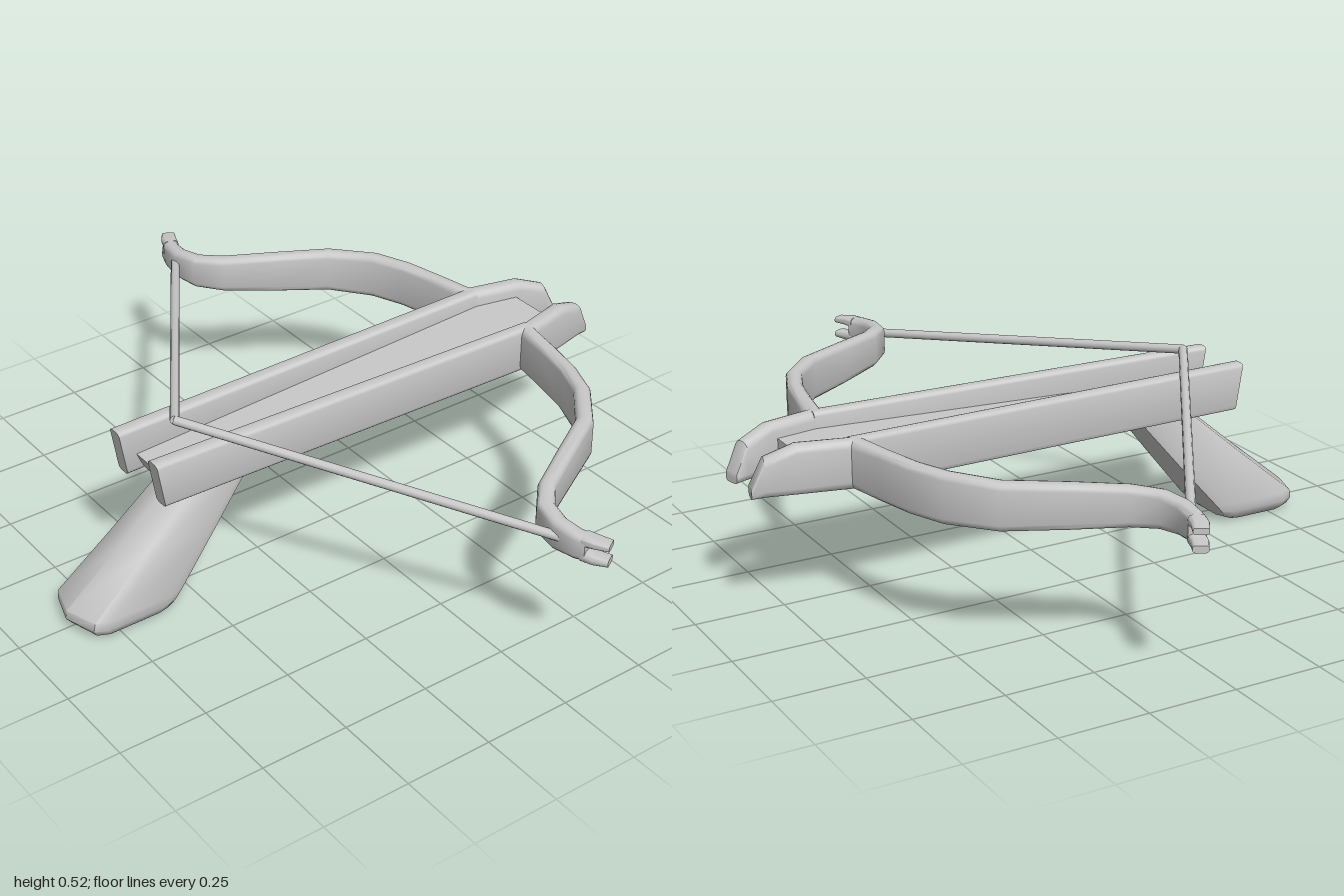
import * as THREE from 'three';
import { toCreasedNormals } from 'three/addons/utils/BufferGeometryUtils.js';

const V = (x, y, z) => new THREE.Vector3(x, y, z);

// Skin a list of equal-length rings and close both ends; faces always point outward.
function loft(rings, crease = 0.65) {
  const n = rings[0].length, pts = rings.flat(), idx = [];
  for (let r = 0; r < rings.length - 1; r++)
    for (let i = 0; i < n; i++) {
      const a = r * n + i, b = r * n + (i + 1) % n;
      idx.push(a, b, b + n, a, b + n, a + n);
    }
  [0, rings.length - 1].forEach((r, end) => {
    const c = pts.length, mid = V(0, 0, 0);
    rings[r].forEach(p => mid.addScaledVector(p, 1 / n));
    pts.push(mid);
    for (let i = 0; i < n; i++) {
      const a = r * n + i, b = r * n + (i + 1) % n;
      end ? idx.push(a, b, c) : idx.push(b, a, c);
    }
  });
  let volume = 0;
  for (let i = 0; i < idx.length; i += 3)
    volume += pts[idx[i]].dot(V(0, 0, 0).crossVectors(pts[idx[i + 1]], pts[idx[i + 2]]));
  if (volume < 0) idx.reverse();
  const g = new THREE.BufferGeometry().setFromPoints(pts);
  g.setIndex(idx);
  return toCreasedNormals(g, crease);
}

// Rounded rectangle as [u, v] pairs, four points per corner.
function roundRect(w, h, r) {
  const out = [];
  for (let k = 0; k < 4; k++)
    for (let j = 0; j < 4; j++) {
      const a = (k + j / 3) * Math.PI / 2;
      const sx = k === 0 || k === 3 ? 1 : -1, sy = k < 2 ? 1 : -1;
      out.push([sx * (w / 2 - r) + r * Math.cos(a), sy * (h / 2 - r) + r * Math.sin(a)]);
    }
  return out;
}

// Sweep rounded sections along rows of [x, z, bottom, top, thickness], mitred at bends.
function sweep(rows, side) {
  const p = rows.map(r => new THREE.Vector2(r[0], r[1]));
  return loft(rows.map(([x, z, y0, y1, t], i) => {
    const d1 = p[Math.max(i, 1)].clone().sub(p[Math.max(i, 1) - 1]).normalize();
    const j = Math.min(i, rows.length - 2);
    const d2 = p[j + 1].clone().sub(p[j]).normalize();
    const d = d1.clone().add(d2).normalize();
    const w = t / Math.max(0.6, d.dot(d1)), h = y1 - y0;
    return roundRect(w, h, Math.min(w, h) * 0.38).map(([u, v]) =>
      V(side * (x + d.y * u), (y0 + y1) / 2 + v, z - d.x * u));
  }));
}

export function createModel() {
  const group = new THREE.Group();
  const grey = new THREE.MeshStandardMaterial({ color: 0xc8c8c8 });
  grey.name = 'grey';
  const add = (name, geometry) => {
    const m = new THREE.Mesh(geometry, grey);
    m.name = name;
    group.add(m);
    return m;
  };

  // Channel floor, rising slightly and tapering between the prongs
  const floorRing = (z, w, top, lean) => [
    V(-w, top, z), V(w, top, z), V(w, 0.37, z - lean * 0.5), V(w - 0.015, 0.347, z - lean),
    V(-w + 0.015, 0.347, z - lean), V(-w, 0.37, z - lean * 0.5)];
  add('channelFloor', loft([
    floorRing(0.575, 0.09, 0.4, 0.025), floorRing(-0.59, 0.115, 0.435, 0),
    floorRing(-0.72, 0.085, 0.44, 0)], 0.5));

  // Bow limb from the prong at the nose out to the forked tip
  const limb = [
    [0.062, -0.855, 0.345, 0.375, 0.05], [0.07, -0.82, 0.345, 0.45, 0.054],
    [0.09, -0.74, 0.345, 0.48, 0.054], [0.128, -0.588, 0.345, 0.48, 0.05],
    [0.25, -0.565, 0.345, 0.48, 0.045], [0.36, -0.54, 0.345, 0.48, 0.045],
    [0.46, -0.5, 0.345, 0.48, 0.046], [0.57, -0.41, 0.347, 0.475, 0.048],
    [0.655, -0.265, 0.352, 0.472, 0.046], [0.73, -0.14, 0.36, 0.467, 0.046],
    [0.79, -0.085, 0.365, 0.463, 0.046], [0.86, -0.07, 0.37, 0.457, 0.046],
    [0.92, -0.078, 0.375, 0.452, 0.046], [0.945, -0.089, 0.378, 0.45, 0.046]];

  for (const side of [1, -1]) {
    const label = side > 0 ? 'left' : 'right';

    // Side rail with a raked butt end
    const railRing = (z, x0, x1, rake) => roundRect(x1 - x0, 0.135, 0.012).map(([u, v]) =>
      V(side * ((x0 + x1) / 2 + u), 0.4125 + v, z + v * rake));
    add(label + 'Rail', loft([railRing(0.615, 0.07, 0.115, 0.16), railRing(-0.6, 0.1, 0.142, 0)]));

    add(label + 'Limb', sweep(limb, side));

    // Two short tines forming the string notch
    add(label + 'UpperTine', sweep([
      [0.935, -0.085, 0.42, 0.451, 0.046], [0.965, -0.096, 0.425, 0.449, 0.045],
      [0.998, -0.115, 0.427, 0.444, 0.04]], side));
    add(label + 'LowerTine', sweep([
      [0.935, -0.085, 0.376, 0.407, 0.046], [0.965, -0.096, 0.377, 0.403, 0.045],
      [0.998, -0.115, 0.381, 0.4, 0.04]], side));

    // Half of the drawn string
    const a = V(side * 0.875, 0.415, -0.06), b = V(0, 0.512, 0.497);
    const string = add(label + 'String', new THREE.CylinderGeometry(0.013, 0.013, a.distanceTo(b), 10));
    string.position.copy(a).lerp(b, 0.5);
    string.quaternion.setFromUnitVectors(V(0, 1, 0), b.clone().sub(a).normalize());
  }

  // Raked grip, flaring toward a rounded foot, as [y, back z, front z, half width]
  const section = [[-0.6, 0], [0.6, 0], [0.92, 0.06], [1, 0.18], [1, 0.78], [0.86, 0.9],
    [0, 1], [-0.86, 0.9], [-1, 0.78], [-1, 0.18], [-0.92, 0.06]];
  add('grip', loft([
    [0.37, 0.28, 0.47, 0.073], [0.2, 0.42, 0.675, 0.092], [0.055, 0.543, 0.855, 0.109],
    [0.03, 0.566, 0.858, 0.109], [0.012, 0.585, 0.843, 0.103], [0, 0.61, 0.82, 0.09]
  ].map(([y, z0, z1, w]) => section.map(([u, v]) => V(u * w, y, z0 + (z1 - z0) * v))), 0.8));

  return group;
}
